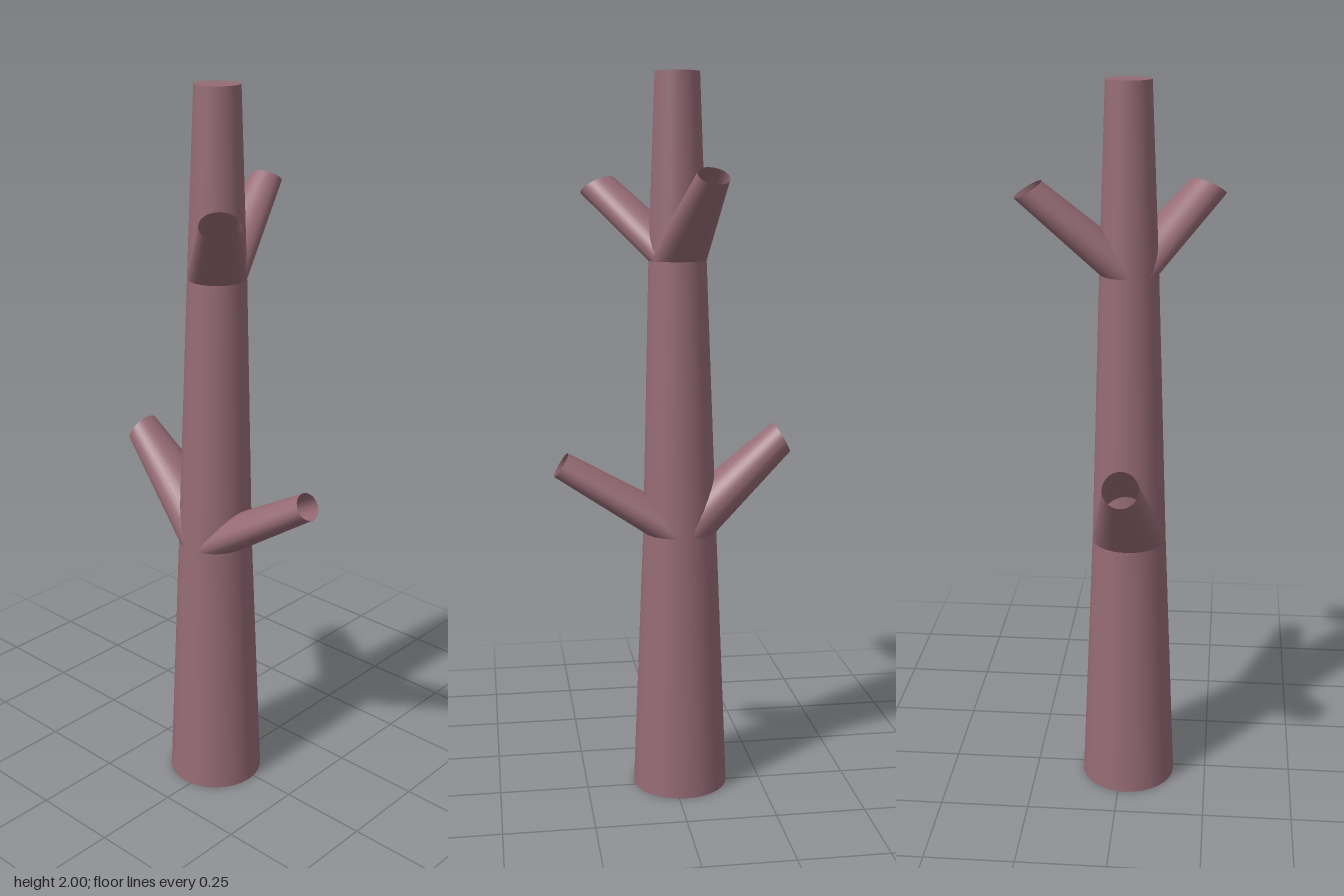
import * as THREE from 'three';

const SIDES = 32;
const UP = new THREE.Vector3(0, 1, 0);

// A ring: centre, radius and the direction it faces
const ring = (x, y, z, radius, normal = [0, 1, 0]) => ({
  centre: new THREE.Vector3(x, y, z),
  radius,
  normal: new THREE.Vector3(...normal).normalize(),
});

// Smooth open skin stretched through a list of rings
function loft(rings) {
  const positions = [];
  const index = [];
  for (const { centre, radius, normal } of rings) {
    const turn = new THREE.Quaternion().setFromUnitVectors(UP, normal);
    for (let i = 0; i < SIDES; i++) {
      const a = (i / SIDES) * Math.PI * 2;
      const p = new THREE.Vector3(Math.cos(a) * radius, 0, Math.sin(a) * radius);
      positions.push(...p.applyQuaternion(turn).add(centre).toArray());
    }
  }
  for (let r = 0; r < rings.length - 1; r++) {
    for (let i = 0; i < SIDES; i++) {
      const j = (i + 1) % SIDES;
      const a = r * SIDES + i, b = r * SIDES + j;
      index.push(a, a + SIDES, b + SIDES, a, b + SIDES, b);
    }
  }
  const geometry = new THREE.BufferGeometry();
  geometry.setAttribute('position', new THREE.Float32BufferAttribute(positions, 3));
  geometry.setIndex(index);
  geometry.computeVertexNormals();
  return geometry;
}

export function createModel() {
  const tree = new THREE.Group();
  tree.name = 'bareTree';
  const bark = new THREE.MeshStandardMaterial({ color: 0x966b75, side: THREE.DoubleSide });
  bark.name = 'bark';

  const add = (name, geometry) => {
    const mesh = new THREE.Mesh(geometry, bark);
    mesh.name = name;
    tree.add(mesh);
    return mesh;
  };

  // Trunk, tapering through the two forks
  const base = ring(-0.021, 0, 0.022, 0.134);
  const lowerFork = ring(-0.02, 0.75, 0.022, 0.103);
  const upperFork = ring(-0.013, 1.505, 0.02, 0.079);
  const top = ring(-0.012, 2, 0.018, 0.06);
  add('trunk', loft([base, lowerFork, upperFork, top]));

  // Flat ends of the trunk
  const cap = (name, end, tilt) => {
    const geometry = new THREE.CircleGeometry(end.radius, SIDES).rotateX(tilt);
    add(name, geometry).position.copy(end.centre);
  };
  cap('trunkTop', top, -Math.PI / 2);
  cap('trunkBottom', base, Math.PI / 2);

  // Hollow branches, each growing from a whole fork ring to a tilted open tip
  add('lowerRightBranch', loft([lowerFork, ring(-0.308, 1.01, 0.021, 0.048, [-0.87, 0.5, 0])]));
  add('lowerLeftBranch', loft([lowerFork, ring(0.311, 0.948, 0.021, 0.038, [0.85, 0.53, 0])]));
  add('upperBackBranch', loft([upperFork, ring(-0.067, 1.73, -0.236, 0.042, [-0.11, 0.86, -0.5])]));
  add('upperFrontBranch', loft([upperFork, ring(0.184, 1.703, 0.22, 0.052, [0.35, 0.87, 0.35])]));

  return tree;
}
